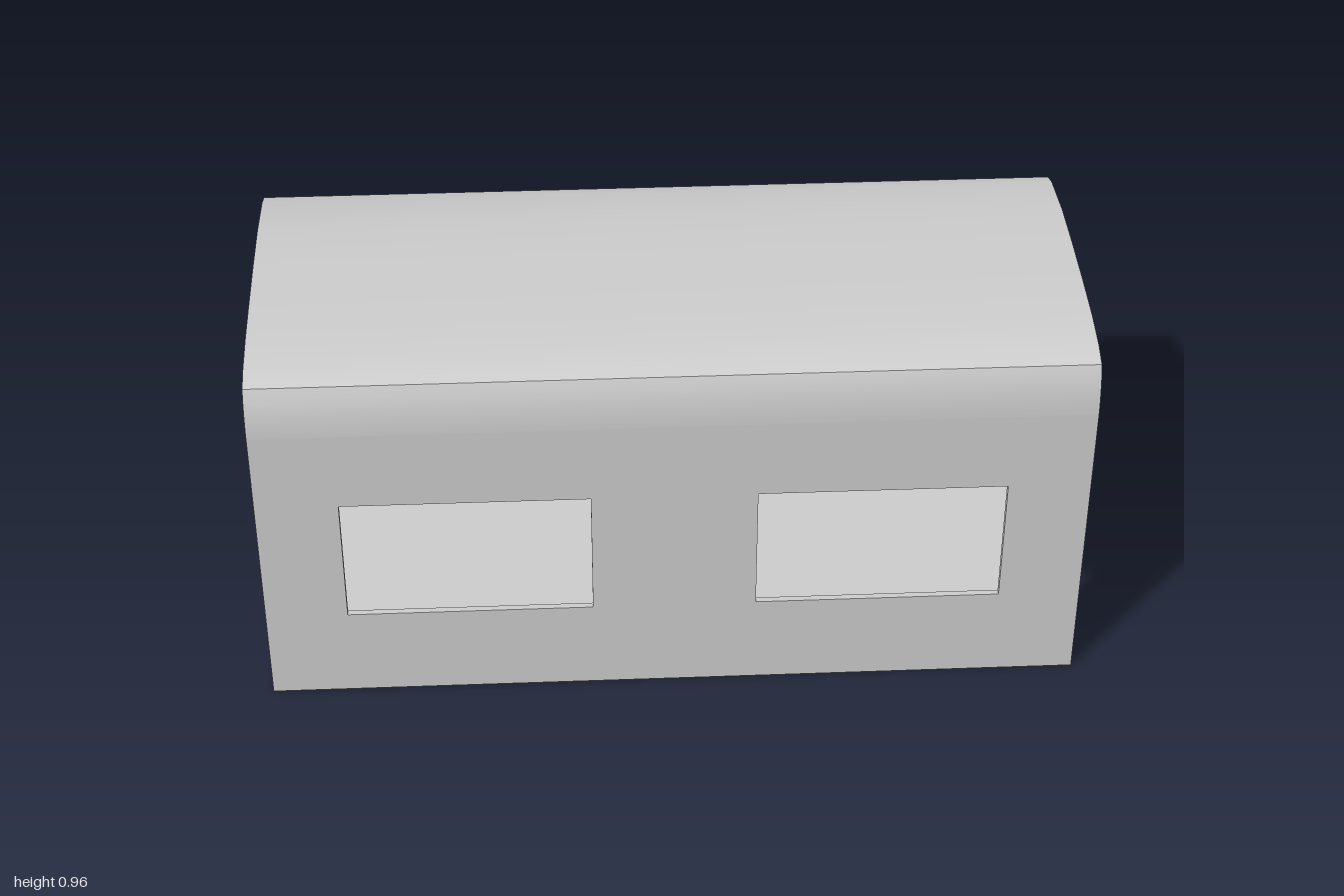
import * as THREE from 'three';
import { toCreasedNormals } from 'three/addons/utils/BufferGeometryUtils.js';

const LENGTH = 2, HALF_DEPTH = 0.436, WALL = 0.016, EAVE = 0.79;
const material = new THREE.MeshStandardMaterial({ color: 0xcccccc });

function addMesh(group, name, geometry) {
  const mesh = new THREE.Mesh(geometry, material);
  mesh.name = name;
  group.add(mesh);
  return mesh;
}

// Flat side wall with two rectangular window openings
function wallGeometry(sill, head) {
  const shape = new THREE.Shape([
    [-1, 0], [1, 0], [1, EAVE], [-1, EAVE],
  ].map(([x, y]) => new THREE.Vector2(x, y)));
  for (const x of [-0.8, 0.2]) {
    shape.holes.push(new THREE.Path([
      [x, sill], [x, head], [x + 0.6, head], [x + 0.6, sill],
    ].map(([px, py]) => new THREE.Vector2(px, py))));
  }
  return new THREE.ExtrudeGeometry(shape, { depth: WALL, bevelEnabled: false });
}

// Thin arched roof section, swept along the length
function roofGeometry() {
  // [z, y] from the front eave over the crown to the back eave
  const outer = [
    [0.436, EAVE], [0.435, 0.815], [0.431, 0.846], [0.423, 0.882], [0.409, 0.916],
    [0.357, 0.934], [0.256, 0.948], [0.116, 0.954], [-0.05, 0.956], [-0.2, 0.953],
    [-0.357, 0.934], [-0.409, 0.916], [-0.423, 0.882], [-0.431, 0.846], [-0.435, 0.815], [-0.436, EAVE],
  ];
  const inner = [
    [0.42, EAVE], [0.419, 0.815], [0.415, 0.845], [0.408, 0.878], [0.397, 0.905],
    [0.352, 0.92], [0.254, 0.933], [0.116, 0.939], [-0.05, 0.941], [-0.198, 0.938],
    [-0.352, 0.92], [-0.397, 0.905], [-0.408, 0.878], [-0.415, 0.845], [-0.419, 0.815], [-0.42, EAVE],
  ];
  const shape = new THREE.Shape(
    [...outer, ...inner.reverse()].map(([z, y]) => new THREE.Vector2(-z, y)));
  const geometry = new THREE.ExtrudeGeometry(shape, { depth: LENGTH, bevelEnabled: false });
  geometry.translate(0, 0, -LENGTH / 2).rotateY(Math.PI / 2);
  return toCreasedNormals(geometry, 0.4);
}

export function createModel() {
  const group = new THREE.Group();
  group.name = 'openCabinShell';

  // Floor between the walls
  const floor = addMesh(group, 'floor',
    new THREE.BoxGeometry(LENGTH, WALL, 2 * (HALF_DEPTH - WALL)));
  floor.position.y = WALL / 2;

  // Side walls; the back sill sits slightly higher
  addMesh(group, 'frontWall', wallGeometry(0.243, 0.582)).position.z = HALF_DEPTH - WALL;
  addMesh(group, 'backWall', wallGeometry(0.254, 0.582)).position.z = -HALF_DEPTH;

  addMesh(group, 'roof', roofGeometry());
  return group;
}
